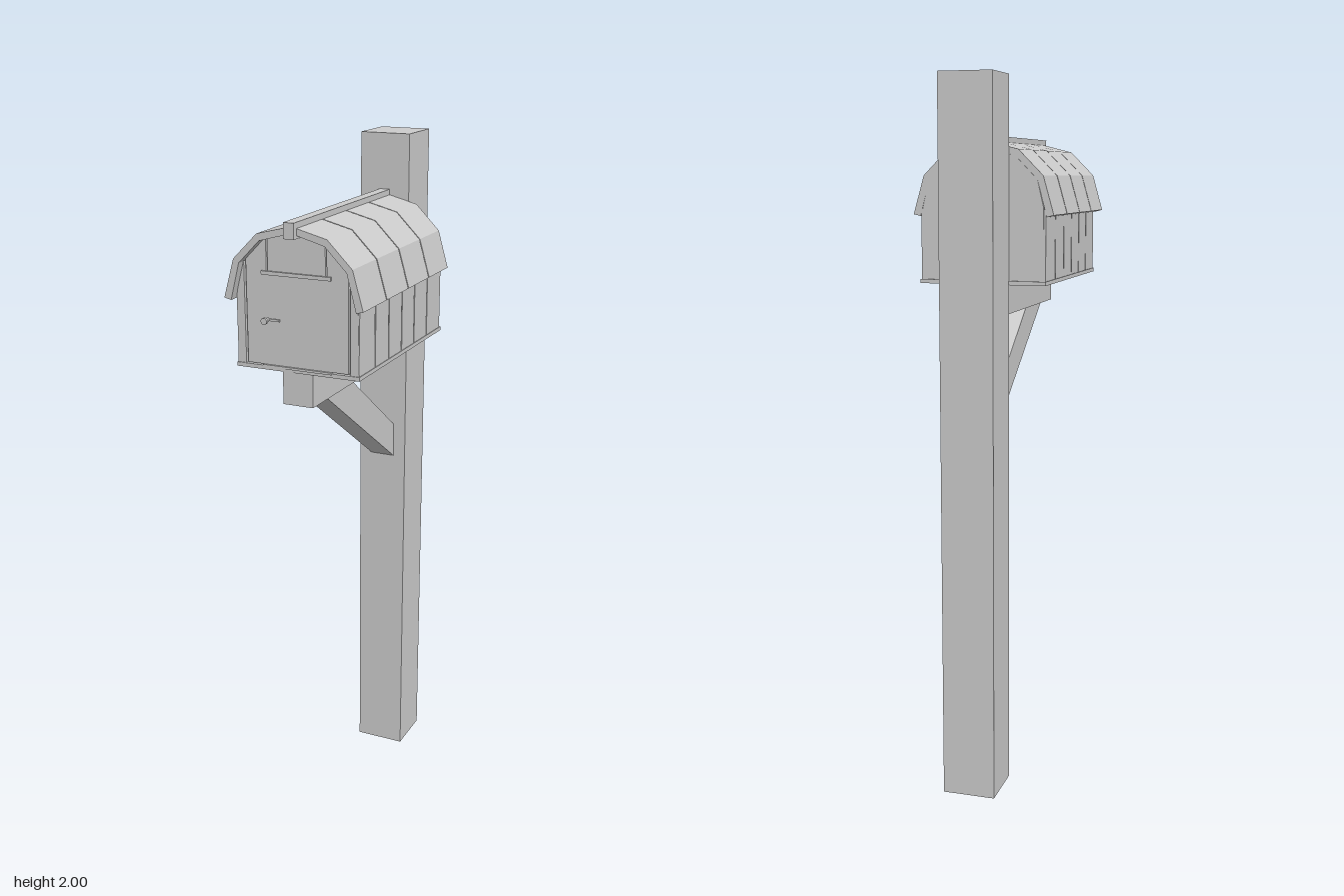
import * as THREE from 'three';

export function createModel() {
  const root = new THREE.Group();
  const grey = new THREE.MeshStandardMaterial({ color: 0xcccccc });
  grey.name = 'paleGrey';
  grey.side = THREE.DoubleSide;

  const add = (name, geometry, parent = root) => {
    const mesh = new THREE.Mesh(geometry, grey);
    mesh.name = name;
    parent.add(mesh);
    return mesh;
  };
  const group = (name) => {
    const g = new THREE.Group();
    g.name = name;
    root.add(g);
    return g;
  };
  // Box given by its limits on each axis
  const box = (name, x0, x1, y0, y1, z0, z1, parent) => {
    const g = new THREE.BoxGeometry(x1 - x0, y1 - y0, z1 - z0);
    g.translate((x0 + x1) / 2, (y0 + y1) / 2, (z0 + z1) / 2);
    return add(name, g, parent);
  };
  // Outline in x and y, extruded from z0 to z1
  const prism = (name, points, z0, z1, parent) => {
    const shape = new THREE.Shape(points.map(([x, y]) => new THREE.Vector2(x, y)));
    const g = new THREE.ExtrudeGeometry(shape, { depth: z1 - z0, bevelEnabled: false });
    g.translate(0, 0, z0);
    return add(name, g, parent);
  };
  const mirror = (half) => half.map(([x, y]) => [-x, y]);
  // Full arch from a right half that ends on the centre line
  const arch = (half) => [...half, ...mirror(half.slice(0, -1)).reverse()];

  // Post, open underneath
  const post = box('post', -0.075, 0.075, 0, 2, -0.38, -0.23);
  const faces = Array.from(post.geometry.index.array);
  faces.splice(18, 6);
  post.geometry.clearGroups();
  post.geometry.setIndex(faces);

  // Support arm and diagonal brace
  box('supportArm', -0.044, 0.044, 1.35, 1.442, -0.23, 0.34);
  const brace = prism('brace', [[-0.243, 1.35], [-0.074, 1.35], [0.23, 1.13], [0.23, 1.027]], -0.037, 0.037);
  brace.rotation.y = Math.PI / 2;

  // Box core and floor board
  const body = group('body');
  const inner = [[0.18, 1.625], [0.154, 1.725], [0.093, 1.787], [0, 1.812]];
  prism('boxCore', arch([[0.172, 1.45], [0.172, 1.65], ...inner.slice(1)]), -0.232, 0.33, body);
  box('floorBoard', -0.18, 0.18, 1.441, 1.452, -0.237, 0.343, body);

  // Side boards with narrow gaps
  const joints = [-0.232, -0.127, -0.032, 0.058, 0.148, 0.238, 0.34];
  for (const s of [-1, 1]) {
    for (let i = 0; i < 6; i++) {
      const xs = [s * 0.171, s * 0.178].sort((a, b) => a - b);
      box('sideBoard', ...xs, 1.45, 1.645, joints[i] + 0.002, joints[i + 1] - 0.002, body);
    }
  }

  // Front: outer strips, door and the gable boards above it
  const front = group('front');
  const strip = [[0.153, 1.45], [0.178, 1.45], [0.174, 1.65], [0.153, 1.728]];
  prism('frontStrip', strip, 0.328, 0.34, front);
  prism('frontStrip', mirror(strip), 0.328, 0.34, front);
  const door = [[0.147, 1.455], [0.147, 1.732], [0.093, 1.787], [0.087, 1.787], [0.087, 1.697], [0, 1.697]];
  prism('door', arch(door), 0.328, 0.34, front);
  prism('gableBoard', arch([[0.083, 1.703], [0.083, 1.789], [0, 1.81]]), 0.328, 0.34, front);
  box('doorRail', -0.1, 0.1, 1.696, 1.706, 0.338, 0.346, front);
  box('doorHinge', -0.1, 0.1, 1.449, 1.455, 0.338, 0.346, front);

  // Door knob with a small latch
  const stem = new THREE.CylinderGeometry(0.005, 0.005, 0.025, 10);
  stem.rotateX(Math.PI / 2).translate(-0.085, 1.577, 0.35);
  add('knobStem', stem, front);
  const knob = new THREE.CylinderGeometry(0.009, 0.009, 0.008, 12);
  knob.rotateX(Math.PI / 2).translate(-0.085, 1.577, 0.361);
  add('knob', knob, front);
  box('latch', -0.085, -0.05, 1.574, 1.58, 0.338, 0.344, front);

  // Four faceted roof panels separated by fine seams
  const roof = group('roof');
  const outer = [[0.2, 1.63], [0.17, 1.735], [0.1, 1.805], [0, 1.83]];
  const roofOutline = [...arch(outer), ...arch(inner).reverse()];
  const seams = [-0.232, -0.083, 0.067, 0.215, 0.367];
  for (let i = 0; i < 4; i++) {
    prism('roofPanel', roofOutline, seams[i] + 0.002, seams[i + 1] - 0.002, roof);
  }
  box('roofRidge', -0.015, 0.015, 1.8, 1.842, -0.23, 0.38, roof);

  return root;
}
